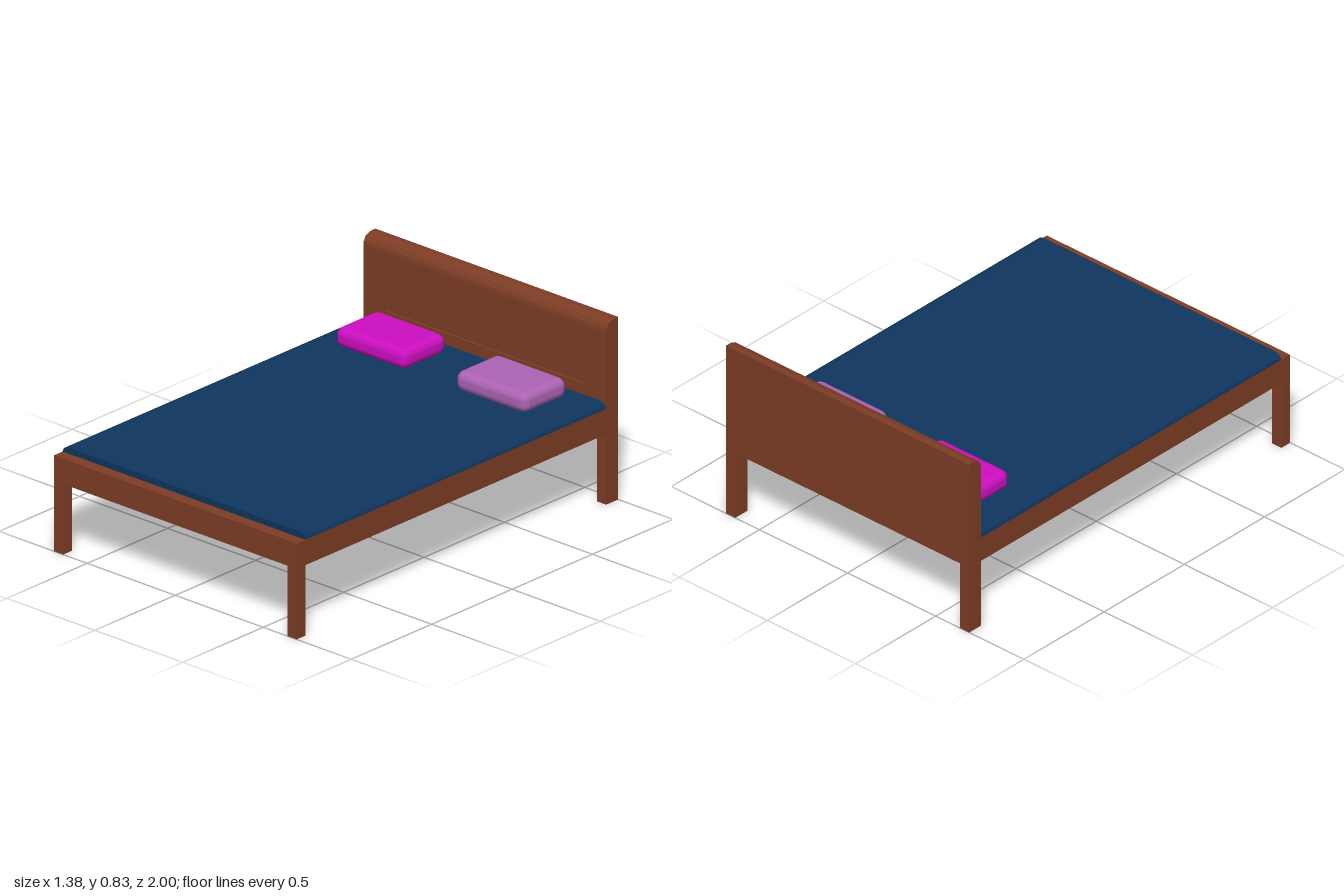
import * as THREE from 'three';
import { RoundedBoxGeometry } from 'three/addons/geometries/RoundedBoxGeometry.js';

const wood = new THREE.MeshStandardMaterial({ color: 0x7d3d25 });
const blue = new THREE.MeshStandardMaterial({ color: 0x0f355e });
const magenta = new THREE.MeshStandardMaterial({ color: 0xcc0fc0 });
const lilac = new THREE.MeshStandardMaterial({ color: 0xad63b5 });

const HALF_W = 0.69, HEAD_FRONT = -0.925, FOOT_BACK = 0.945;
const RAIL_BOTTOM = 0.322, RAIL_TOP = 0.438, RECESS = 0.01;

export function createModel() {
  const bed = new THREE.Group();
  bed.name = 'bed';

  const add = (name, geometry, material, x = 0, y = 0, z = 0) => {
    const mesh = new THREE.Mesh(geometry, material);
    mesh.name = name;
    mesh.position.set(x, y, z);
    bed.add(mesh);
    return mesh;
  };

  // Box given by its minimum and maximum corners
  const addBox = (name, material, [x0, y0, z0], [x1, y1, z1]) =>
    add(name, new THREE.BoxGeometry(x1 - x0, y1 - y0, z1 - z0), material,
      (x0 + x1) / 2, (y0 + y1) / 2, (z0 + z1) / 2);

  // Bed base, closed underneath
  addBox('bedBase', wood, [-HALF_W, RAIL_BOTTOM, HEAD_FRONT], [HALF_W, RAIL_TOP, FOOT_BACK]);
  addBox('footRail', wood, [-HALF_W, RAIL_BOTTOM, FOOT_BACK], [HALF_W, RAIL_TOP, 1]);

  // Legs
  for (const [side, s] of [['left', 1], ['right', -1]]) {
    const x0 = s > 0 ? HALF_W - 0.053 : -HALF_W;
    addBox(side + 'FrontLeg', wood, [x0, 0, FOOT_BACK], [x0 + 0.053, RAIL_BOTTOM, 1]);
    addBox(side + 'BackLeg', wood, [x0, 0, -1], [x0 + 0.053, RAIL_BOTTOM, HEAD_FRONT]);
  }

  // Headboard core: side profile (z, y) with a rounded top front edge, swept across x
  const profile = new THREE.Shape();
  profile.moveTo(-1, RAIL_BOTTOM);
  profile.lineTo(HEAD_FRONT - RECESS, RAIL_BOTTOM);
  profile.lineTo(HEAD_FRONT - RECESS, 0.785);
  profile.lineTo(HEAD_FRONT, 0.785);
  profile.lineTo(-0.928, 0.803);
  profile.lineTo(-0.941, 0.824);
  profile.lineTo(-0.972, 0.835);
  profile.lineTo(-1, 0.835);
  const core = new THREE.ExtrudeGeometry(profile, { depth: HALF_W * 2, bevelEnabled: false });
  core.translate(0, 0, -HALF_W).rotateY(-Math.PI / 2);
  add('headboard', core, wood);

  // Headboard face with two recessed panels
  const rect = (Type, x0, y0, x1, y1) => {
    const p = new Type();
    p.moveTo(x0, y0).lineTo(x1, y0).lineTo(x1, y1).lineTo(x0, y1).closePath();
    return p;
  };
  const face = rect(THREE.Shape, -HALF_W, RAIL_BOTTOM, HALF_W, 0.785);
  face.holes.push(rect(THREE.Path, -0.57, 0.517, -0.006, 0.728));
  face.holes.push(rect(THREE.Path, 0.004, 0.517, 0.566, 0.728));
  add('headboardFrame', new THREE.ExtrudeGeometry(face, { depth: RECESS, bevelEnabled: false }),
    wood, 0, 0, HEAD_FRONT - RECESS);

  // Mattress: rounded along both upper long edges
  const section = new THREE.Shape();
  section.moveTo(-HALF_W, RAIL_TOP);
  section.lineTo(HALF_W, RAIL_TOP);
  section.quadraticCurveTo(HALF_W - 0.004, 0.465, HALF_W - 0.035, 0.466);
  section.lineTo(-HALF_W + 0.035, 0.466);
  section.quadraticCurveTo(-HALF_W + 0.004, 0.465, -HALF_W, RAIL_TOP);
  add('mattress', new THREE.ExtrudeGeometry(section,
    { depth: FOOT_BACK - HEAD_FRONT, bevelEnabled: false, curveSegments: 6 }), blue, 0, 0, HEAD_FRONT);

  // Pillows
  for (const [name, x, material] of [['rightPillow', -0.352, magenta], ['leftPillow', 0.332, lilac]]) {
    add(name, new RoundedBoxGeometry(0.4, 0.09, 0.27, 5, 0.036), material, x, 0.512, -0.725);
  }

  return bed;
}
